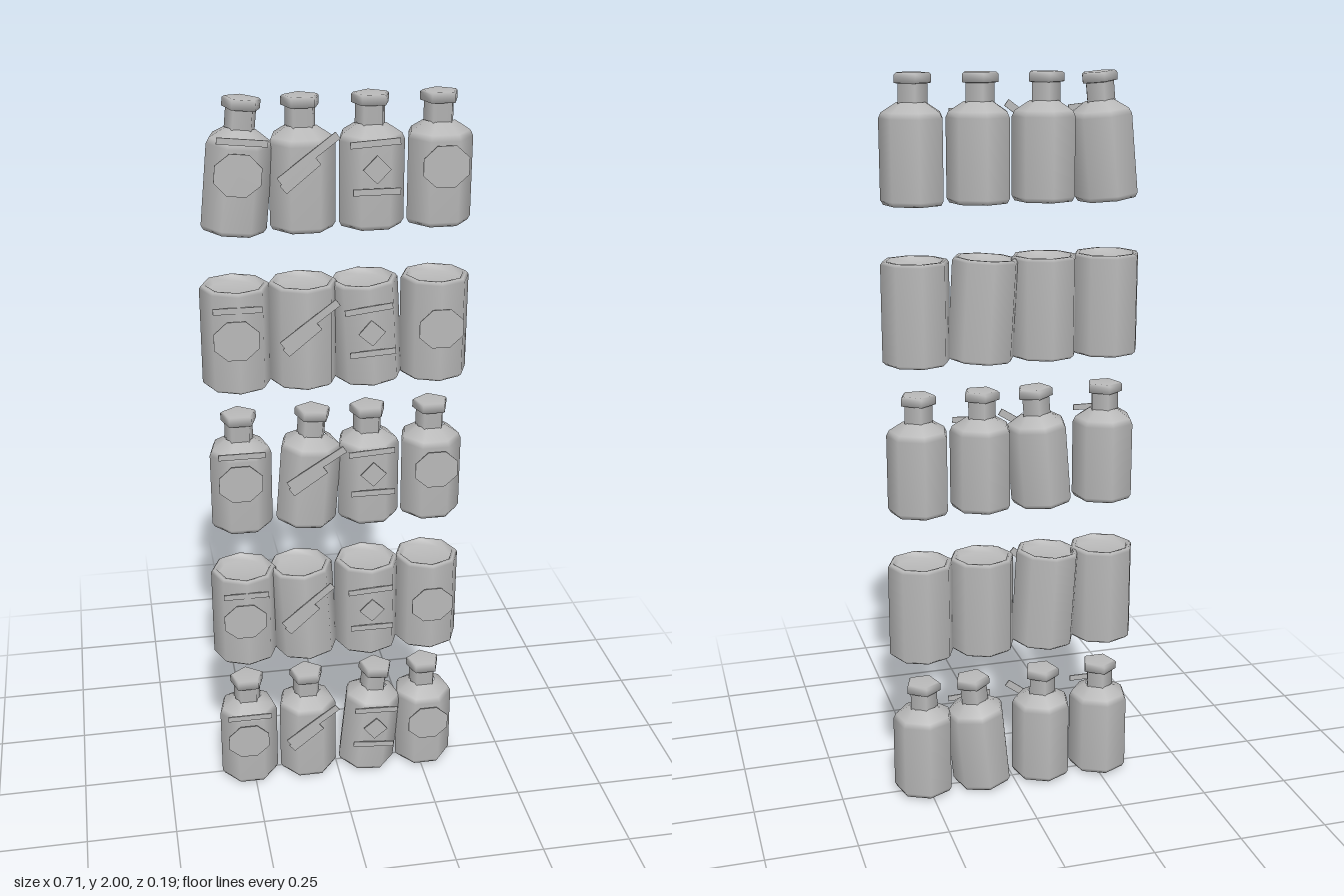
import * as THREE from 'three';

const grey = new THREE.MeshStandardMaterial({ color: 0xb8b8b8 });
grey.name = 'plain grey';

const mesh = (name, geometry) => {
  const m = new THREE.Mesh(geometry, grey);
  m.name = name;
  return m;
};

// Low-sided turned shape with one corner pointing to the back
const turned = (points, sides) =>
  new THREE.LatheGeometry(points.map(([r, y]) => new THREE.Vector2(r, y)), sides, Math.PI);

const bottleBody = turned([[0, 0], [0.078, 0], [0.085, 0.012], [0.085, 0.215], [0.078, 0.23], [0.038, 0.255]], 7);
const bottleNeck = turned([[0.04, 0.245], [0.04, 0.305]], 5);
const bottleCap = turned([[0.038, 0.3], [0.05, 0.302], [0.05, 0.322], [0.044, 0.327], [0, 0.327]], 5);
const canBody = turned([[0, 0], [0.082, 0], [0.091, 0.008], [0.091, 0.264], [0.085, 0.272],
  [0.076, 0.272], [0.07, 0.256], [0, 0.256]], 8);

// Thin label plates
const disc = new THREE.CylinderGeometry(1, 1, 0.003, 8).rotateX(Math.PI / 2).rotateZ(Math.PI / 8);
function bar(name, w, h, x, y, z, turn = 0) {
  const m = mesh(name, new THREE.BoxGeometry(w, h, 0.004));
  m.position.set(x, y, z);
  m.rotation.z = turn;
  return m;
}
function roundLabel(x, y, z) {
  const m = mesh('roundLabel', disc);
  m.scale.set(0.063, 0.056, 1);
  m.position.set(x, y, z);
  return m;
}

// One label design per column, centred on height y
const labels = [
  (y, z) => [roundLabel(-0.008, y, z), bar('topBand', 0.125, 0.016, -0.003, y + 0.08, z - 0.004)],
  (y, z) => [
    bar('longStripe', 0.18, 0.02, 0.005, y + 0.035, z, 0.64),
    bar('shortStripe', 0.11, 0.026, -0.015, y - 0.005, z, 0.68),
  ],
  (y, z) => [
    bar('diamond', 0.05, 0.05, 0, y, z, Math.PI / 4),
    bar('upperBand', 0.125, 0.016, -0.005, y + 0.065, z, 0.06),
    bar('lowerBand', 0.12, 0.016, 0, y - 0.055, z),
  ],
  (y, z) => [roundLabel(0, y, z)],
];

const columns = [-0.262, -0.087, 0.088, 0.262];
const rows = [
  { y: 0.012, can: false, tilts: [0, 0, -0.1, 0] },
  { y: 0.428, can: true, tilts: [0, 0.06, 0, 0] },
  { y: 0.845, can: false, tilts: [0, -0.08, 0, 0] },
  { y: 1.258, can: true, tilts: [0, 0, 0.06, 0] },
  { y: 1.673, can: false, tilts: [-0.1, 0, 0, 0] },
];

export function createModel() {
  const model = new THREE.Group();
  model.name = 'bottlesAndCans';
  for (const row of rows) {
    columns.forEach((x, i) => {
      const item = new THREE.Group();
      item.name = row.can ? 'can' : 'bottle';
      if (row.can) item.add(mesh('canBody', canBody));
      else item.add(mesh('bottleBody', bottleBody), mesh('neck', bottleNeck), mesh('cap', bottleCap));
      item.add(...labels[i](row.can ? 0.15 : 0.157, row.can ? 0.093 : 0.089));
      item.position.set(x, row.y, 0);
      item.rotation.z = row.tilts[i];
      model.add(item);
    });
  }
  return model;
}
